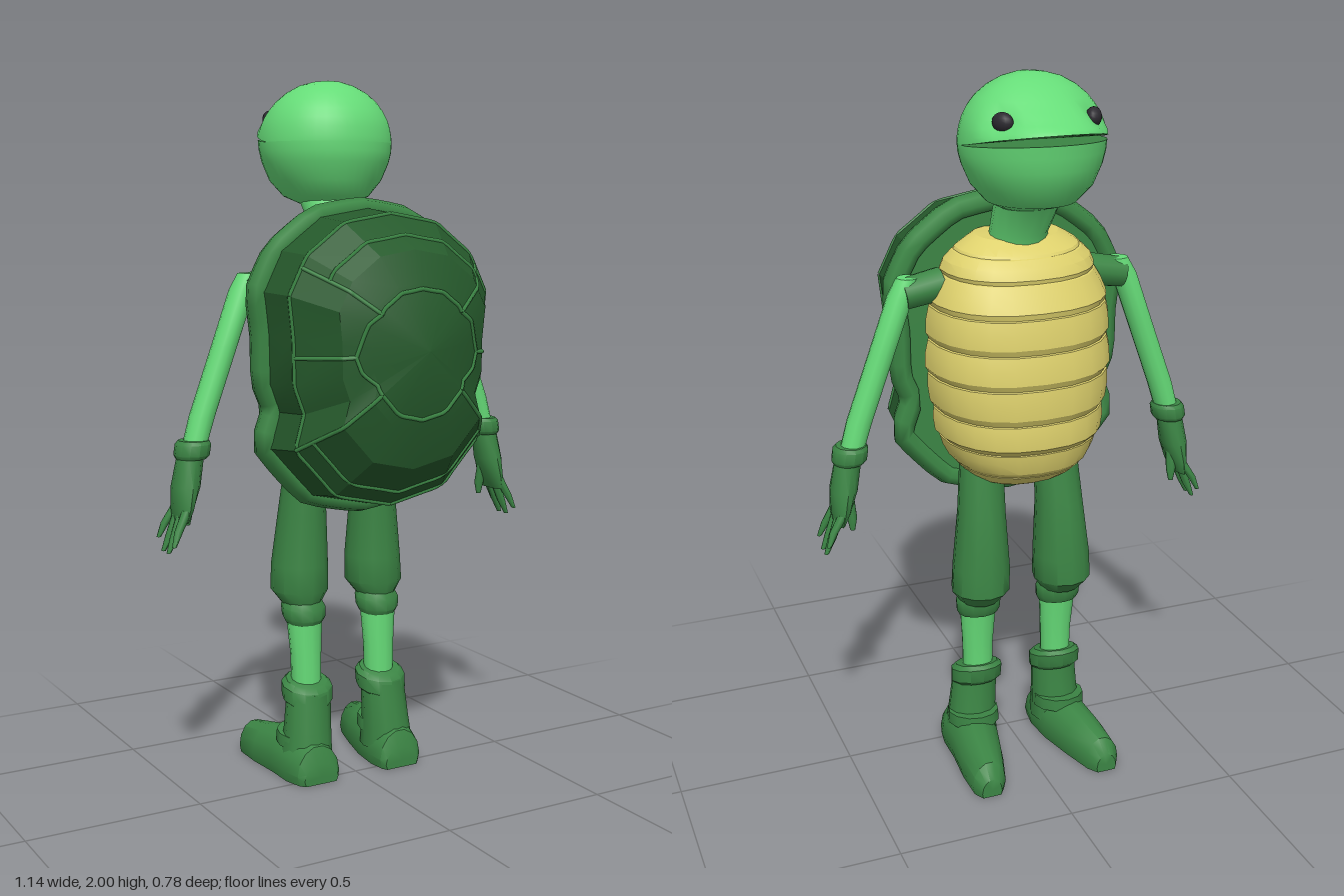
import * as THREE from 'three';
import { toCreasedNormals } from 'three/addons/utils/BufferGeometryUtils.js';

const mat = (name, color) => {
  const m = new THREE.MeshStandardMaterial({ color });
  m.name = name;
  return m;
};

// Skin through a list of equal-length rings of points, with optional end caps
function loft(rings, { caps = true, crease = 0.7 } = {}) {
  const n = rings[0].length, pos = [], idx = [];
  rings.forEach(r => r.forEach(p => pos.push(...p)));
  for (let j = 0; j < rings.length - 1; j++) {
    for (let i = 0; i < n; i++) {
      const a = j * n + i, b = j * n + (i + 1) % n;
      idx.push(a, b, a + n, b, b + n, a + n);
    }
  }
  if (caps) {
    [0, rings.length - 1].forEach((j, end) => {
      const c = pos.length / 3;
      pos.push(...[0, 1, 2].map(k => rings[j].reduce((s, p) => s + p[k], 0) / n));
      for (let i = 0; i < n; i++) {
        const a = j * n + i, b = j * n + (i + 1) % n;
        idx.push(...(end ? [a, b, c] : [b, a, c]));
      }
    });
  }
  const g = new THREE.BufferGeometry();
  g.setAttribute('position', new THREE.Float32BufferAttribute(pos, 3));
  g.setIndex(idx);
  g.computeVertexNormals();
  return crease ? toCreasedNormals(g, crease) : g;
}

// Horizontal ellipse, optionally tilted up towards the front (-z)
const ring = (x, y, z, rx, rz = rx, tilt = 0, n = 12) =>
  Array.from({ length: n }, (_, i) => {
    const a = (i / n) * Math.PI * 2, dz = Math.cos(a) * rz;
    return [x + Math.sin(a) * rx, y - tilt * dz, z + dz];
  });

// Linear lookup in a table of rows sorted by their first value
function lookup(rows, t) {
  let i = 0;
  while (i < rows.length - 2 && t > rows[i + 1][0]) i++;
  const a = rows[i], b = rows[i + 1];
  const f = Math.min(1, Math.max(0, (t - a[0]) / (b[0] - a[0])));
  return a.map((v, k) => v + (b[k] - v) * f);
}

export function createModel() {
  const model = new THREE.Group();
  const skin = mat('skin green', 0x66dc78), cloth = mat('clothing green', 0x3c8645);
  const shell = mat('shell dark green', 0x265a2c), yellow = mat('belly yellow', 0xddd06c);
  const black = mat('eye black', 0x2c2a30);
  const add = (name, geo, material, parent = model) => {
    const m = new THREE.Mesh(geo, material);
    m.name = name;
    parent.add(m);
    return m;
  };

  // Head: upper and lower halves that part into an open mouth at the front
  const HZ = -0.17, N = 40;
  const headRing = (y, back, front, w, lift) => Array.from({ length: N }, (_, i) => {
    const a = (i / N) * Math.PI * 2, c = Math.cos(a);
    const x = Math.sin(a) * w, z = HZ + c * (c > 0 ? back - HZ : HZ - front);
    const yy = y + lift * Math.max(0, (-0.18 - z) / 0.2);
    // shallow eye sockets
    const d = Math.hypot(Math.abs(x) - 0.13, yy - 1.895, z + 0.29);
    const dent = 0.016 * Math.max(0, 1 - d / 0.06);
    return [x - Math.sign(x) * dent, yy, z + dent];
  });
  const lower = [[1.655, -0.07, -0.23, 0.08, 0], [1.675, -0.04, -0.3, 0.12, 0], [1.72, -0.015, -0.345, 0.16, 0],
    [1.77, 0.005, -0.365, 0.182, 0.005], [1.80, 0.01, -0.372, 0.19, 0.012], [1.825, 0.01, -0.378, 0.192, 0.02]]
    .map(r => headRing(...r));
  const upper = [[1.825, 0.01, -0.388, 0.192, 0.045], [1.84, 0.01, -0.382, 0.191, 0.042], [1.865, 0.006, -0.36, 0.187, 0.03],
    [1.89, 0, -0.345, 0.179, 0.018], [1.915, -0.013, -0.322, 0.166, 0.005], [1.94, -0.03, -0.295, 0.147, 0],
    [1.965, -0.055, -0.262, 0.117, 0], [1.985, -0.088, -0.225, 0.08, 0], [1.996, -0.12, -0.19, 0.04, 0],
    [2.0, -0.155, -0.165, 0.005, 0]].map(r => headRing(...r));
  add('lowerHead', loft(lower, { caps: false, crease: 0 }), skin);
  add('upperHead', loft(upper, { caps: false, crease: 0 }), skin);
  const mouthCentre = upper[0].map(() => [0, 1.826, -0.17]);
  add('mouthRoof', loft([mouthCentre, upper[0]], { caps: false }), cloth);
  add('mouthFloor', loft([lower[5], mouthCentre], { caps: false }), cloth);
  add('neck', loft([ring(0, 1.48, -0.06, 0.085, 0.08, 0, 16), ring(0, 1.57, -0.085, 0.08, 0.075, 0, 16),
    ring(0, 1.69, -0.165, 0.09, 0.095, 0, 16)]), skin);
  for (const s of [-1, 1]) {
    const eye = add('eye', new THREE.SphereGeometry(0.028, 16, 12), black);
    eye.scale.set(0.75, 0.9, 1.1);
    eye.position.set(s * 0.122, 1.895, -0.285);
    eye.rotation.y = s * 0.5;
  }

  // Belly: stacked bulging bands
  const bellyRows = [[0.89, 0.14, -0.19], [0.935, 0.19, -0.255], [1.02, 0.235, -0.285], [1.2, 0.262, -0.29],
    [1.39, 0.255, -0.272], [1.52, 0.2, -0.21], [1.57, 0.12, -0.14]];
  const bellyRings = [];
  const bandEdges = [0.89, 0.935, 1.01, 1.095, 1.195, 1.29, 1.385, 1.47, 1.53, 1.57];
  for (let b = 0; b < bandEdges.length - 1; b++) {
    for (const [f, k] of [[0, 0.96], [0.18, 1], [0.6, 1], [0.97, 0.975]]) {
      const [y, w, front] = lookup(bellyRows, bandEdges[b] + f * (bandEdges[b + 1] - bandEdges[b]));
      bellyRings.push(Array.from({ length: 24 }, (_, i) => {
        const a = (i / 24) * Math.PI * 2, c = Math.cos(a), sn = Math.sin(a);
        const depth = c > 0 ? c * 0.07 : (Math.abs(c) ** 0.9) * (front + 0.06) * k;
        return [Math.sign(sn) * (Math.abs(sn) ** 0.85) * w * k, y + 0.012 * Math.min(0, c), depth - 0.06];
      }));
    }
  }
  add('belly', loft(bellyRings, { crease: 0.4 }), yellow);

  // Shell: outline scaled towards a blunt peak
  const CY = 1.27;
  const half = [[0, 1.645], [0.15, 1.62], [0.27, 1.53], [0.325, 1.42], [0.312, 1.3], [0.31, 1.17],
    [0.28, 1.09], [0.308, 0.99], [0.18, 0.85], [0, 0.81]];
  const outline = [...half.map(([x, y]) => [-x, y]), ...half.slice(1, -1).reverse()];
  const M = outline.length;
  const profile = [[0, 0.39], [0.47, 0.345], [0.7, 0.31], [0.955, 0.185], [1, 0.03]];
  const shellPoint = (u, s) => {
    const v = ((u % M) + M) % M, i = Math.floor(v), f = v - i;
    const a = outline[i], b = outline[(i + 1) % M];
    return [(a[0] + (b[0] - a[0]) * f) * s, CY + (a[1] + (b[1] - a[1]) * f - CY) * s, lookup(profile, s)[1]];
  };
  const dome = [1, 0.955, 0.7, 0.47, 0.002].map(s => outline.map((_, i) => shellPoint(i, s)));
  add('shellDome', loft(dome, { crease: 0.35 }), shell);

  const rimPath = outline.map(([x, y]) => new THREE.Vector3(x * 0.985, CY + (y - CY) * 0.985, 0));
  const rimGeo = new THREE.TubeGeometry(new THREE.CatmullRomCurve3(rimPath, true, 'catmullrom', 0.2), 54, 0.032, 8, true);
  rimGeo.scale(1, 1, 1.4).translate(0, 0, 0.025);
  add('shellRim', rimGeo, cloth);
  const plate = new THREE.ExtrudeGeometry(new THREE.Shape(rimPath.map(p => new THREE.Vector2(p.x, p.y))),
    { depth: 0.03, bevelEnabled: false });
  add('shellBackPlate', plate, cloth);

  // Raised seams between the shell plates, following the dome
  const seam = (u0, s0, u1, s1) => {
    const steps = 14, pts = [];
    for (let i = 0; i <= steps; i++) {
      const t = i / steps;
      pts.push(new THREE.Vector3(...shellPoint(u0 + (u1 - u0) * t, s0 + (s1 - s0) * t)));
    }
    add('shellSeam', new THREE.TubeGeometry(new THREE.CatmullRomCurve3(pts), 28, 0.006, 5), cloth);
  };
  const corners = [[-2.3, 0.43], [2.3, 0.43], [4.4, 0.6], [7, 0.4], [11, 0.4], [13.6, 0.6]];
  corners.forEach(([u, s], i) => {
    const [u2, s2] = corners[(i + 1) % 6];
    seam(u, s, i === 5 ? u2 + M : u2, s2);
    seam(u, s, u, 0.95);
  });
  for (let k = 0; k < 6; k++) seam(k * 3, 0.95, k * 3 + 3, 0.95);
  seam(-2.3, 0.8, 2.3, 0.8);
  seam(7, 0.86, 11, 0.86);

  // Arms, gloves, legs and boots, one set per side (rings run bottom to top)
  for (const s of [-1, 1]) {
    const side = new THREE.Group();
    side.name = s > 0 ? 'leftLimbs' : 'rightLimbs';
    model.add(side);
    const part = (name, m, rows) => add(name, loft(rows.map(([x, ...r]) => ring(x * s, ...r))), m, side);

    part('arm', skin, [[0.48, 0.98, -0.06, 0.033, 0.036], [0.45, 1.08, -0.06, 0.036, 0.036],
      [0.38, 1.27, -0.06, 0.036, 0.036], [0.325, 1.42, -0.06, 0.036, 0.038], [0.305, 1.465, -0.06, 0.03, 0.03]]);
    const sleeve = add('sleeve', new THREE.CylinderGeometry(0.043, 0.046, 0.11, 12), cloth, side);
    sleeve.position.set(s * 0.265, 1.43, -0.06);
    sleeve.rotation.z = -s * 1.75;

    part('gloveCuff', cloth, [[0.485, 0.965, -0.06, 0.042, 0.046], [0.483, 0.975, -0.06, 0.049, 0.053],
      [0.478, 1.005, -0.06, 0.049, 0.053], [0.476, 1.015, -0.06, 0.042, 0.046]]);
    part('glovePalm', cloth, [[0.52, 0.795, -0.06, 0.014, 0.05], [0.513, 0.83, -0.06, 0.026, 0.057],
      [0.502, 0.89, -0.06, 0.038, 0.052], [0.487, 0.97, -0.06, 0.037, 0.04]]);
    for (const [z0, z1, tip] of [[-0.1, -0.112, 0.745], [-0.073, -0.08, 0.712], [-0.046, -0.043, 0.712], [-0.02, -0.004, 0.735]]) {
      part('finger', cloth, [[0.562, tip, z1, 0.006, 0.007], [0.545, tip + 0.04, (z0 + z1) / 2, 0.012, 0.012],
        [0.515, 0.83, z0, 0.015, 0.014]]);
    }
    part('thumb', cloth, [[0.487, 0.775, -0.085, 0.007], [0.487, 0.81, -0.083, 0.014], [0.495, 0.88, -0.07, 0.018]]);

    part('trouserLeg', cloth, [[0.125, 0.505, -0.1, 0.055, 0.06], [0.125, 0.545, -0.112, 0.084, 0.086],
      [0.123, 0.62, -0.114, 0.082, 0.086], [0.118, 0.78, -0.105, 0.068, 0.075], [0.11, 0.96, -0.085, 0.06, 0.065]]);
    part('kneeBand', cloth, [[0.124, 0.455, -0.088, 0.056, 0.052, 0.15], [0.124, 0.47, -0.088, 0.064, 0.06, 0.15],
      [0.124, 0.5, -0.09, 0.066, 0.062, 0.15], [0.124, 0.52, -0.092, 0.055, 0.054, 0.15]]);
    part('shin', skin, [[0.123, 0.25, -0.076, 0.044, 0.04], [0.123, 0.36, -0.078, 0.046, 0.043], [0.124, 0.48, -0.085, 0.054, 0.05]]);
    part('bootCuff', cloth, [[0.125, 0.218, -0.065, 0.062, 0.058, 0.25], [0.125, 0.23, -0.067, 0.075, 0.07, 0.25],
      [0.124, 0.27, -0.07, 0.076, 0.07, 0.25], [0.124, 0.283, -0.071, 0.062, 0.058, 0.25]]);
    part('bootShaft', cloth, [[0.138, 0.05, -0.055, 0.078, 0.08], [0.132, 0.14, -0.053, 0.07, 0.068], [0.125, 0.25, -0.058, 0.066, 0.058]]);
    part('bootStrap', cloth, [[0.137, 0.095, -0.075, 0.076, 0.08, 0.1], [0.137, 0.13, -0.075, 0.074, 0.078, 0.1]]);

    // Foot: flat-soled cross-sections from toe to heel
    const foot = [[-0.345, 0.178, 0.03, 0.055], [-0.315, 0.176, 0.05, 0.095], [-0.22, 0.163, 0.066, 0.112],
      [-0.12, 0.147, 0.075, 0.128], [-0.03, 0.142, 0.08, 0.13], [0.025, 0.138, 0.068, 0.11], [0.04, 0.136, 0.055, 0.06]];
    add('foot', loft(foot.map(([z, x, w, h]) => Array.from({ length: 14 }, (_, i) => {
      const a = (i / 14) * Math.PI * 2, sn = Math.sin(a);
      return [s * x + Math.cos(a) * w, sn < -0.1 ? 0 : h * (0.25 + 0.75 * Math.max(0, sn)), z];
    }))), cloth, side);
  }
  return model;
}
